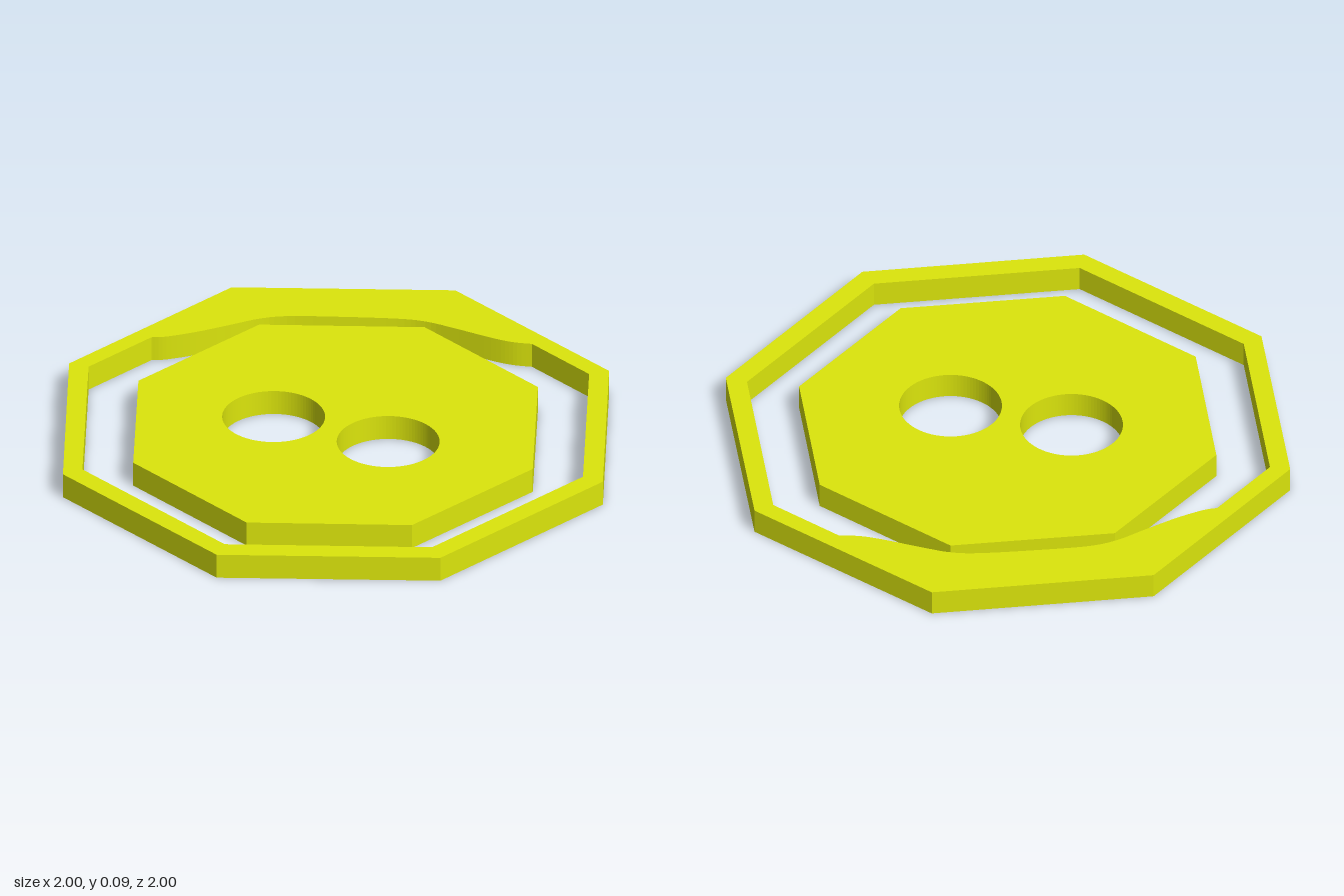
import * as THREE from 'three';

const HEIGHT = 0.09;

// Regular octagon outline in plan (x, z)
function octagon(cx, cz, radius, turn) {
  return Array.from({ length: 8 }, (_, i) => {
    const a = turn + (i * Math.PI) / 4;
    return new THREE.Vector2(cx + radius * Math.cos(a), cz + radius * Math.sin(a));
  });
}

// Extrude a plan shape upwards from the ground
function plate(name, shape, material) {
  const geometry = new THREE.ExtrudeGeometry(shape, { depth: HEIGHT, bevelEnabled: false, curveSegments: 48 });
  geometry.rotateX(Math.PI / 2).translate(0, HEIGHT, 0);
  const mesh = new THREE.Mesh(geometry, material);
  mesh.name = name;
  return mesh;
}

export function createModel() {
  const group = new THREE.Group();
  group.name = 'octagonalButton';
  const material = new THREE.MeshStandardMaterial({ color: 0xdce60c });

  // Outer rim: octagonal frame, its opening cut by a wavy edge at the back left
  const rim = new THREE.Shape(octagon(0, 0, 1, 0.006));
  const wave = new THREE.SplineCurve([
    [-0.815, -0.285], [-0.77, -0.31], [-0.69, -0.38], [-0.6, -0.475], [-0.53, -0.55],
    [-0.45, -0.605], [-0.3, -0.667], [-0.1, -0.74], [0, -0.762], [0.1, -0.76],
    [0.25, -0.75], [0.33, -0.752], [0.395, -0.767],
  ].map(([x, z]) => new THREE.Vector2(x, z)));
  const corners = octagon(-0.003, -0.005, 0.927, 0.008);
  const opening = [...wave.getPoints(60), corners[7], ...corners.slice(0, 5)];
  rim.holes.push(new THREE.Path(opening));
  group.add(plate('outerRim', rim, material));

  // Centre plate with two round holes
  const centre = new THREE.Shape(octagon(0.005, 0.015, 0.74, 0.01));
  for (const x of [-0.212, 0.216]) {
    centre.holes.push(new THREE.Path().absarc(x, 0.048, 0.176, 0, Math.PI * 2, true));
  }
  group.add(plate('centrePlate', centre, material));

  return group;
}
